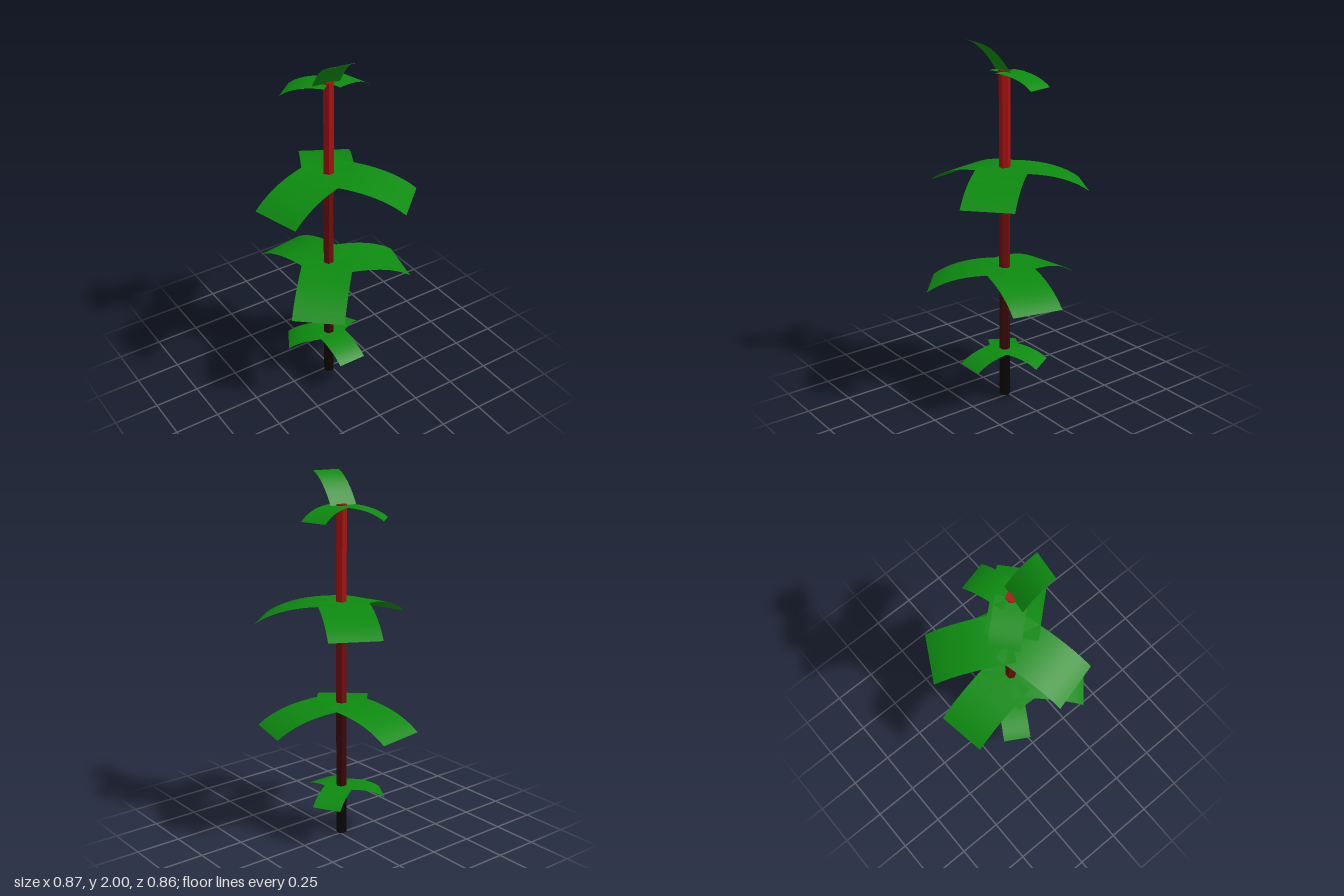
import * as THREE from 'three';

const STEM_X = -0.02, STEM_Z = 0.014, STEM_R = 0.03;
const deg = THREE.MathUtils.degToRad;
const leafMaterial = new THREE.MeshStandardMaterial({ color: 0x0d8a10, side: THREE.DoubleSide });

// Rectangular leaf running out along +x: flat at the stem, bending down to the tip
function leafGeometry(length, width, drop) {
  const geo = new THREE.PlaneGeometry(1, width, 10, 1).rotateX(-Math.PI / 2);
  const bend = new THREE.QuadraticBezierCurve(
    new THREE.Vector2(0, 0),
    new THREE.Vector2(length * 0.66, 0),
    new THREE.Vector2(length, -drop)
  );
  const pos = geo.attributes.position;
  for (let i = 0; i < pos.count; i++) {
    const p = bend.getPoint(pos.getX(i) + 0.5);
    pos.setX(i, p.x);
    pos.setY(i, p.y);
  }
  geo.computeVertexNormals();
  return geo;
}

// Tiers from the bottom up; each leaf is [heading from +x toward +z, length, optional upward pitch]
const tiers = [
  { name: 'lowerLeaves', y: 0.285, width: 0.16, drop: 0.06, leaves: [[90, 0.24], [-30, 0.22], [210, 0.23]] },
  { name: 'lowerMiddleLeaves', y: 0.77, width: 0.278, drop: 0.11, leaves: [[131, 0.41], [13.5, 0.43], [-99, 0.42]] },
  { name: 'upperMiddleLeaves', y: 1.33, width: 0.278, drop: 0.11, leaves: [[48, 0.44], [165, 0.4], [-61, 0.427]] },
  { name: 'topLeaves', y: 1.835, width: 0.155, drop: 0.065, leaves: [[-14, 0.232], [-131, 0.232], [97, 0.232, 59]] },
];

export function createModel() {
  const model = new THREE.Group();
  model.name = 'leafyPlant';

  // Six-sided stem, one section between tiers, reddening toward the top
  const heights = [0, 0.285, 0.77, 1.33, 1.842];
  const colors = [0x0c0505, 0x3a0808, 0x700c0c, 0xa81010];
  colors.forEach((color, i) => {
    const h = heights[i + 1] - heights[i];
    const capped = i === 0 || i === colors.length - 1;
    const section = new THREE.Mesh(
      new THREE.CylinderGeometry(STEM_R, STEM_R, h, 6, 1, !capped).rotateY(Math.PI / 6),
      new THREE.MeshStandardMaterial({ color, flatShading: true })
    );
    section.name = `stemSection${i + 1}`;
    section.position.set(STEM_X, heights[i] + h / 2, STEM_Z);
    model.add(section);
  });

  // Three leaves around the stem at each tier
  for (const tier of tiers) {
    const group = new THREE.Group();
    group.name = tier.name;
    group.position.set(STEM_X, tier.y, STEM_Z);
    tier.leaves.forEach(([heading, length, pitch = 0], i) => {
      const leaf = new THREE.Mesh(leafGeometry(length, tier.width, tier.drop), leafMaterial);
      leaf.name = pitch ? 'risingLeaf' : `leaf${i + 1}`;
      leaf.rotation.set(0, -deg(heading), deg(pitch));
      if (pitch) leaf.position.set(-0.014, 0, 0);
      group.add(leaf);
    });
    model.add(group);
  }
  return model;
}
